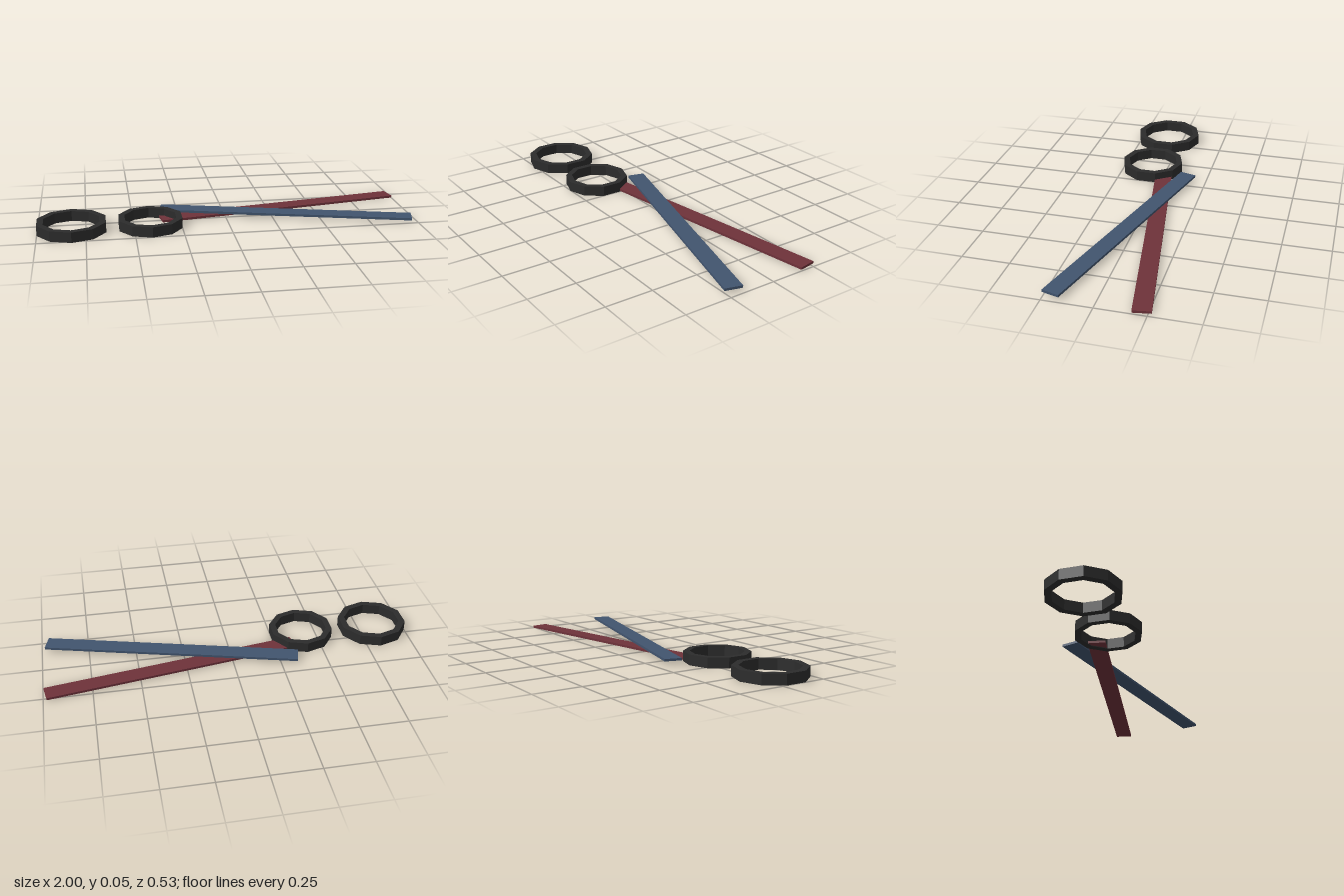
import * as THREE from 'three';

const material = (name, color) => {
  const m = new THREE.MeshStandardMaterial({ color });
  m.name = name;
  return m;
};

// Ten-sided flat outline with a corner pointing along z
const decagon = (radius) => Array.from({ length: 10 }, (_, i) => {
  const a = Math.PI / 2 + (i * Math.PI) / 5;
  return new THREE.Vector2(radius * Math.cos(a), radius * Math.sin(a));
});

function makeRing(name, mat, x, z, radius, wall, height) {
  const shape = new THREE.Shape(decagon(radius));
  shape.holes.push(new THREE.Path(decagon(radius - wall)));
  const geometry = new THREE.ExtrudeGeometry(shape, { depth: height, bevelEnabled: false });
  geometry.rotateX(-Math.PI / 2);
  const ring = new THREE.Mesh(geometry, mat);
  ring.name = name;
  ring.position.set(x, 0, z);
  return ring;
}

// Flat bar between two end centres [x, z]
function makeBar(name, mat, from, to, bottom, thickness, width) {
  const dx = to[0] - from[0];
  const dz = to[1] - from[1];
  const bar = new THREE.Mesh(new THREE.BoxGeometry(Math.hypot(dx, dz), thickness, width), mat);
  bar.name = name;
  bar.position.set((from[0] + to[0]) / 2, bottom + thickness / 2, (from[1] + to[1]) / 2);
  bar.rotation.y = -Math.atan2(dz, dx);
  return bar;
}

export function createModel() {
  const model = new THREE.Group();
  model.name = 'crossedBarsAndRings';

  const charcoal = material('charcoal', 0x2c2c2c);
  const red = material('darkRed', 0x6e323a);
  const blue = material('slateBlue', 0x41546e);

  // Two rings lying flat
  model.add(makeRing('outerRing', charcoal, -0.823, 0.081, 0.186, 0.035, 0.055));
  model.add(makeRing('innerRing', charcoal, -0.414, 0.081, 0.173, 0.033, 0.055));

  // Two crossed bars, blue resting on red
  model.add(makeBar('lowerBar', red, [-0.352, 0], [0.989, -0.222], 0.004, 0.012, 0.091));
  model.add(makeBar('upperBar', blue, [-0.345, -0.143], [0.972, 0.2125], 0.0165, 0.0125, 0.091));

  return model;
}
